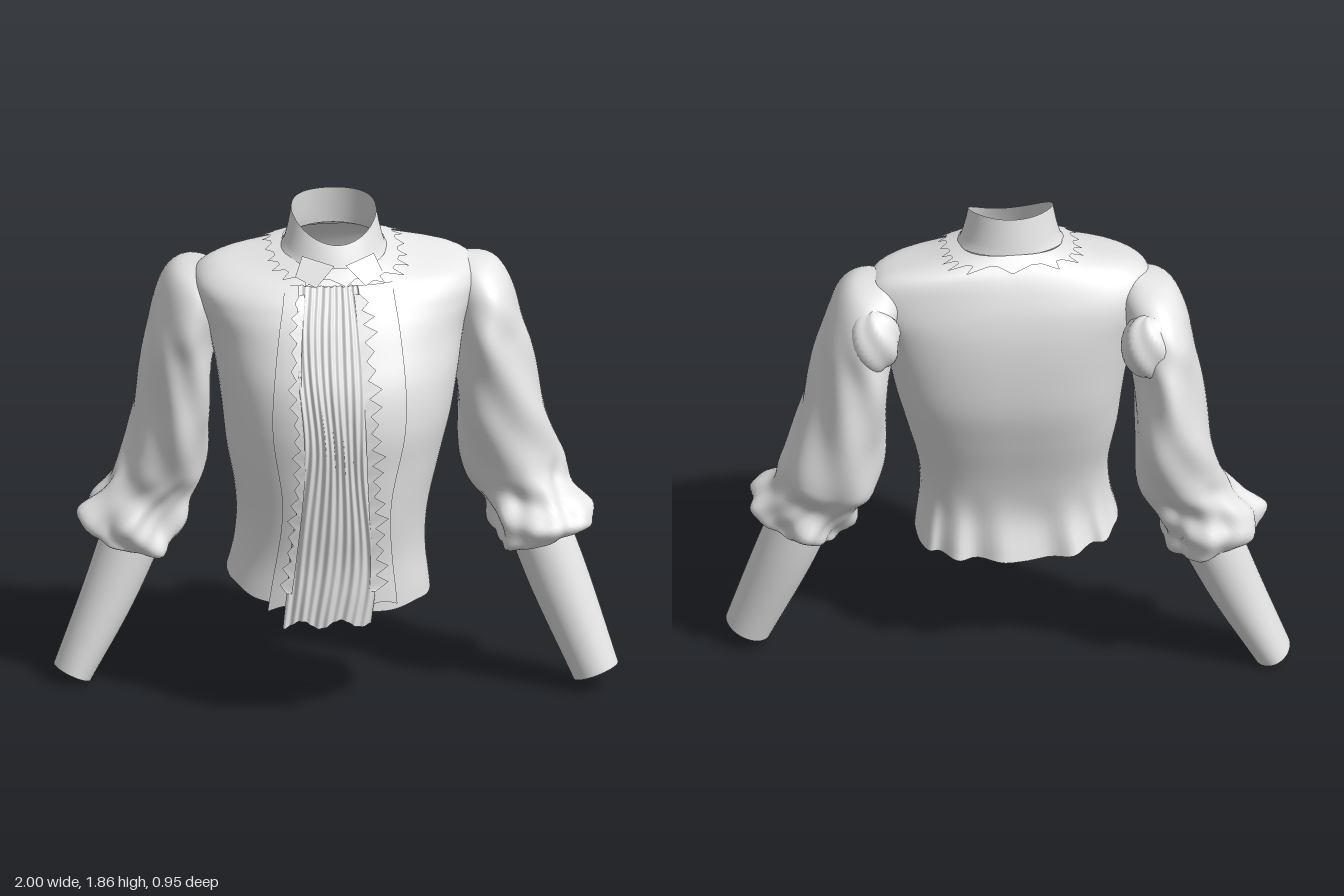
import * as THREE from 'three';

const { lerp, clamp, smoothstep } = THREE.MathUtils;
const { sin, cos, abs, sign, PI } = Math;

// Smooth interpolation of table rows; the first column is the key.
function sample(rows, k) {
  const last = rows.length - 1;
  k = clamp(k, rows[0][0], rows[last][0]);
  let i = 0;
  while (i < last - 1 && k > rows[i + 1][0]) i++;
  const p = rows[Math.max(i - 1, 0)], q = rows[i], r = rows[i + 1], s = rows[Math.min(i + 2, last)];
  const h = r[0] - q[0], t = (k - q[0]) / h, t2 = t * t, t3 = t2 * t;
  return q.map((_, c) => {
    const m0 = (r[c] - p[c]) / (r[0] - p[0]) * h, m1 = (s[c] - q[c]) / (s[0] - q[0]) * h;
    return (2 * t3 - 3 * t2 + 1) * q[c] + (t3 - 2 * t2 + t) * m0 + (3 * t2 - 2 * t3) * r[c] + (t3 - t2) * m1;
  });
}

// Sheet of nu x nv cells from a point rule; wraps round in u when closed.
function sheet(nu, nv, point, closed = false) {
  const pos = [], idx = [], w = closed ? nu : nu + 1;
  for (let j = 0; j <= nv; j++)
    for (let i = 0; i < w; i++) pos.push(...point(i / nu, j / nv, i, j).toArray());
  for (let j = 0; j < nv; j++)
    for (let i = 0; i < nu; i++) {
      const a = j * w + i, b = j * w + (i + 1) % w;
      idx.push(a, b, b + w, a, b + w, a + w);
    }
  const g = new THREE.BufferGeometry();
  g.setAttribute('position', new THREE.Float32BufferAttribute(pos, 3));
  g.setIndex(idx);
  g.computeVertexNormals();
  return g;
}

// Bodice sections: height, right x, left x, front z, back z, z of widest point
const BODICE = [
  [0.36, -0.45, 0.325, 0.39, -0.17, 0.10],
  [0.46, -0.42, 0.315, 0.395, -0.15, 0.10],
  [0.60, -0.385, 0.30, 0.40, -0.125, 0.10],
  [0.75, -0.375, 0.31, 0.42, -0.15, 0.09],
  [0.95, -0.405, 0.36, 0.44, -0.21, 0.06],
  [1.10, -0.42, 0.40, 0.45, -0.25, 0.04],
  [1.25, -0.44, 0.43, 0.425, -0.265, 0.01],
  [1.40, -0.47, 0.46, 0.355, -0.265, -0.03],
  [1.50, -0.51, 0.50, 0.30, -0.25, -0.05],
  [1.57, -0.51, 0.505, 0.265, -0.22, -0.05],
  [1.62, -0.44, 0.445, 0.235, -0.19, -0.03],
  [1.655, -0.30, 0.28, 0.21, -0.16, 0.0],
  [1.685, -0.20, 0.17, 0.19, -0.135, 0.02],
];
const tilt = (v, z) => -0.2 * smoothstep(v, 1.45, 1.68) * (z - 0.03);

function bodicePoint(a, v) {
  const [, xr, xl, zf, zb, zc] = sample(BODICE, v);
  const front = cos(a) > 0, e = 2 / (front ? 2.35 : 2.8);
  const x = (xl + xr) / 2 + (xl - xr) / 2 * sign(sin(a)) * abs(sin(a)) ** e;
  let z = zc + (front ? zf - zc : zc - zb) * sign(cos(a)) * abs(cos(a)) ** e;
  if (!front) { // slight twist, and gathers above the back hem
    z += 0.1 * x * -cos(a) * (1 - smoothstep(v, 1.5, 1.68));
    z += 0.022 * sin(a * 13) * cos(a) * (1 - smoothstep(v, 0.42, 0.72));
  }
  return new THREE.Vector3(x, v + tilt(v, z), z);
}

// Point on the bodice front at a given x, raised by off
function frontPoint(x, v, off) {
  const [, xr, xl, zf, , zc] = sample(BODICE, v);
  const t = Math.min(abs(x - (xl + xr) / 2) / ((xl - xr) / 2), 1);
  const z = zc + (zf - zc) * (1 - t ** 2.35) ** (1 / 2.35) + off;
  return new THREE.Vector3(x, v + tilt(v, z), z);
}

// Sleeve sections: key, centre x, y, z, sideways radius, depth radius
const LEFT_SLEEVE = [
  [0, 0.44, 1.61, -0.07, 0.02, 0.04], [0.5, 0.485, 1.565, -0.075, 0.095, 0.15],
  [1, 0.525, 1.47, -0.06, 0.118, 0.215], [2, 0.555, 1.28, -0.05, 0.138, 0.24],
  [3, 0.595, 1.04, -0.055, 0.157, 0.225], [4, 0.65, 0.82, -0.06, 0.178, 0.20],
  [4.6, 0.69, 0.715, -0.015, 0.155, 0.17], [5.2, 0.745, 0.615, 0.035, 0.18, 0.20],
  [5.7, 0.755, 0.565, 0.05, 0.145, 0.16], [6, 0.74, 0.59, 0.045, 0.10, 0.11],
];
const RIGHT_SLEEVE = [
  [0, -0.44, 1.60, -0.10, 0.02, 0.04], [0.5, -0.485, 1.55, -0.13, 0.095, 0.17],
  [1, -0.52, 1.45, -0.165, 0.115, 0.235], [2, -0.55, 1.27, -0.195, 0.123, 0.25],
  [3, -0.565, 1.03, -0.235, 0.135, 0.245], [4, -0.60, 0.82, -0.24, 0.15, 0.19],
  [4.6, -0.655, 0.71, -0.24, 0.15, 0.155], [5.2, -0.72, 0.595, -0.235, 0.18, 0.175],
  [5.7, -0.725, 0.525, -0.235, 0.145, 0.15], [6, -0.71, 0.55, -0.235, 0.10, 0.11],
];
// Fitted lower sleeves, same columns
const LEFT_CUFF = [
  [0, 0.70, 0.66, 0.04, 0.11, 0.115], [1, 0.795, 0.40, 0.07, 0.108, 0.112], [2, 0.92, 0.065, 0.125, 0.086, 0.093],
];
const RIGHT_CUFF = [
  [0, -0.67, 0.64, -0.255, 0.115, 0.13], [1, -0.80, 0.32, -0.225, 0.097, 0.112], [2, -0.935, 0.03, -0.207, 0.071, 0.104],
];

// Tube through the sections, with a fold rule that scales the radius
function sleeve(rows, nu, nv, fold = () => 0) {
  const end = rows[rows.length - 1][0];
  const axis = new THREE.Vector3().subVectors(
    new THREE.Vector3(...rows[rows.length - 1].slice(1, 4)), new THREE.Vector3(...rows[0].slice(1, 4))).normalize();
  const depth = new THREE.Vector3(0, 0, 1).addScaledVector(axis, -axis.z).normalize();
  const side = new THREE.Vector3().crossVectors(axis, depth);
  return sheet(nu, nv, (u, w) => {
    const k = w * end, [, x, y, z, a, b] = sample(rows, k), q = u * 2 * PI, f = 1 + fold(q, k);
    return new THREE.Vector3(x, y, z).addScaledVector(side, a * f * cos(q)).addScaledVector(depth, b * f * sin(q));
  }, true);
}

// Diagonal drapes on the arm, tighter crumples at the elbow puff
const drape = (ph) => (q, k) => {
  const body = smoothstep(k, 0.6, 2), puff = smoothstep(k, 3.8, 5);
  return body * (0.04 * sin(3 * q + 2.1 * k + ph) + 0.035 * sin(5 * q - 3.3 * k + 2 * ph))
    + puff * (0.06 * sin(6 * q + 2 * k + ph) + 0.05 * sin(4 * q - 7 * k) + 0.03 * sin(11 * q + 5 * k));
};

// Front panel edges: height, right x, left x
const PLEATED = [[0.36, -0.255, 0.065], [0.6, -0.22, 0.08], [1.0, -0.19, 0.06], [1.3, -0.2, 0.05], [1.645, -0.165, 0.04]];
const FACING = [[0.42, -0.30, 0.17], [0.8, -0.25, 0.14], [1.1, -0.285, 0.19], [1.3, -0.275, 0.195], [1.64, -0.22, 0.17]];

export function createModel() {
  const group = new THREE.Group();
  group.name = 'blouse';
  const cloth = new THREE.MeshStandardMaterial({ color: 0xe7e7e7, side: THREE.DoubleSide });
  cloth.name = 'pale grey cloth';
  const add = (name, geometry) => {
    const mesh = new THREE.Mesh(geometry, cloth);
    mesh.name = name;
    group.add(mesh);
    return mesh;
  };

  // Bodice, open at neck and hem, with an uneven hem
  add('bodice', sheet(112, 64, (u, w) => {
    const a = u * 2 * PI;
    const hem = 0.435 + 0.06 * Math.max(0, -sin(a)) - 0.025 * Math.max(0, cos(a)) + 0.004 * sin(9 * a);
    return bodicePoint(a, lerp(hem, 1.685, 1 - (1 - w) ** 1.6));
  }, true));

  // Flat facing and pleated front
  add('frontFacing', sheet(36, 40, (u, w) => {
    const v = lerp(0.42 + 0.03 * abs(sin(u * 9)), 1.64, w), [, r, l] = sample(FACING, v);
    return frontPoint(lerp(r, l, u), v, 0.009);
  }));
  add('pleatedFront', sheet(120, 44, (u, w) => {
    const v = lerp(0.365 + 0.03 * sin(u * 7) ** 2, 1.645, w), [, r, l] = sample(PLEATED, v);
    const x = lerp(r, l, u) + 0.008 * sin(v * 7 + u * 4);
    const pleat = 0.0045 * sin(u * 10 * 2 * PI + 0.8 * sin(v * 9)) + 0.003 * sin(u * 23 + v * 6);
    return frontPoint(x, v, 0.02 + pleat);
  }));

  // Toothed lace down both edges of the pleats
  for (const [name, col, dir] of [['rightLace', 1, -1], ['leftLace', 2, 1]])
    add(name, sheet(1, 36, (u, w, i, j) => {
      const v = lerp(0.5, 1.62, w), edge = sample(PLEATED, v)[col];
      const width = j % 2 ? 0.045 + 0.012 * sin(j * 2.3) : 0.006;
      return frontPoint(edge + dir * (i ? width * (dir > 0 ? 1 : 0.6) : -0.015), v, 0.024 + 0.006 * i);
    }));

  // Stand collar, high and rounded at the back, with a toothed edge on the shoulders
  add('collar', sheet(64, 8, (u, w) => {
    const a = u * 2 * PI, z = lerp(0.028 + 0.172 * cos(a), 0.02 + 0.142 * cos(a), w);
    const x = -0.017 + lerp(0.195, 0.153, w ** 0.6) * sin(a);
    const top = 1.86 - 0.125 * ((1 + cos(a)) / 2) ** 2.2;
    return new THREE.Vector3(x, lerp(1.685 - 0.2 * (z - 0.03), top, w), z);
  }, true));
  add('collarLace', sheet(60, 3, (u, w, i) => {
    const a = u * 2 * PI, tooth = i % 3 ? 0.6 : 1;
    const p = bodicePoint(a, 1.685 - w * tooth * (0.02 + 0.035 * cos(a) ** 2));
    p.y += 0.008;
    p.z += 0.012 * cos(a);
    return p;
  }, true));

  // Collar points either side of the front opening
  for (const s of [-1, 1])
    add(s < 0 ? 'rightCollarPoint' : 'leftCollarPoint', sheet(1, 1, (u, w, i, j) => {
      const x = [[0.02, 0.13], [0.09, 0.16]][j][i], y = [[1.675, 1.70], [1.605, 1.635]][j][i];
      const z = [[0.215, 0.16], [0.245, 0.2]][j][i];
      return new THREE.Vector3(-0.02 + s * x, y, z);
    }));

  // Sleeves, fitted cuffs and gathered sleeve heads
  add('leftSleeve', sleeve(LEFT_SLEEVE, 72, 70, drape(0.4)));
  add('rightSleeve', sleeve(RIGHT_SLEEVE, 72, 70, drape(2.1)));
  add('leftCuff', sleeve(LEFT_CUFF, 40, 16));
  add('rightCuff', sleeve(RIGHT_CUFF, 40, 16));
  for (const [name, x, y, z] of [['leftSleeveHead', 0.505, 1.44, -0.20], ['rightSleeveHead', -0.475, 1.42, -0.325]]) {
    const head = sheet(40, 20, (u, w) => {
      const a = u * 2 * PI, b = w * PI, r = 1 + 0.06 * sin(b) * sin(5 * a + 4 * b);
      return new THREE.Vector3(0.095 * r * sin(b) * cos(a), 0.125 * r * cos(b), 0.1 * r * sin(b) * sin(a));
    }, true);
    add(name, head).position.set(x, y, z);
  }
  return group;
}
